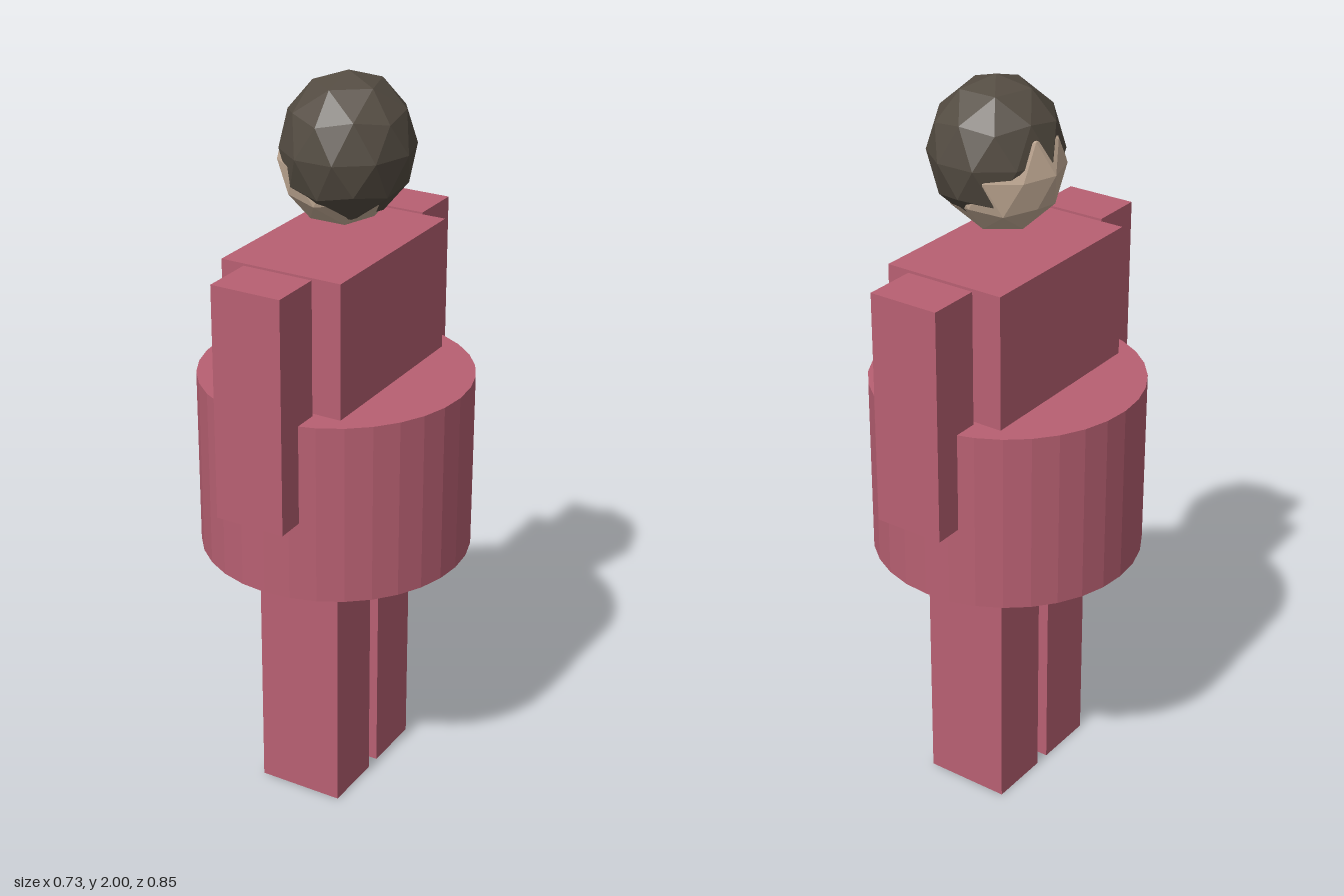
import * as THREE from 'three';

const mat = (name, color) => {
  const m = new THREE.MeshStandardMaterial({ color, flatShading: true });
  m.name = name;
  return m;
};

export function createModel() {
  const model = new THREE.Group();
  model.name = 'figure';
  const rose = mat('rose', 0xb86072);
  const darkBrown = mat('dark brown', 0x544c42);
  const skin = mat('skin', 0xc8b09a);

  const add = (name, geometry, material, x, y, z) => {
    const mesh = new THREE.Mesh(geometry, material);
    mesh.name = name;
    mesh.position.set(x, y, z);
    model.add(mesh);
  };

  // Box given by its size, bottom and z centre
  const block = (name, w, bottom, top, d, z) =>
    add(name, new THREE.BoxGeometry(w, top - bottom, d), rose, 0, (bottom + top) / 2, z);

  // Faceted ball standing on a pole vertex
  const ball = (rx, ry, rz) => new THREE.IcosahedronGeometry(1, 1)
    .rotateX(-Math.atan((1 + Math.sqrt(5)) / 2))
    .scale(rx, ry, rz);

  // Torso and wide skirt; the figure faces -x
  block('torso', 0.34, 0.9, 1.56, 0.536, 0);
  add('skirt', new THREE.CylinderGeometry(0.364, 0.364, 0.49, 32), rose, 0, 0.955, 0);

  // Mirrored limbs
  for (const [side, s] of [['right', -1], ['left', 1]]) {
    block(side + 'Arm', 0.194, 0.93, 1.56, 0.146, s * 0.354);
    block(side + 'Leg', 0.24, 0, 0.73, 0.174, s * 0.109);
  }

  // Head with the hair as a larger ball set back and up
  add('head', ball(0.16, 0.175, 0.16), skin, 0.015, 1.777, 0);
  add('hair', ball(0.17, 0.19, 0.18), darkBrown, 0.035, 1.81, 0);

  return model;
}
